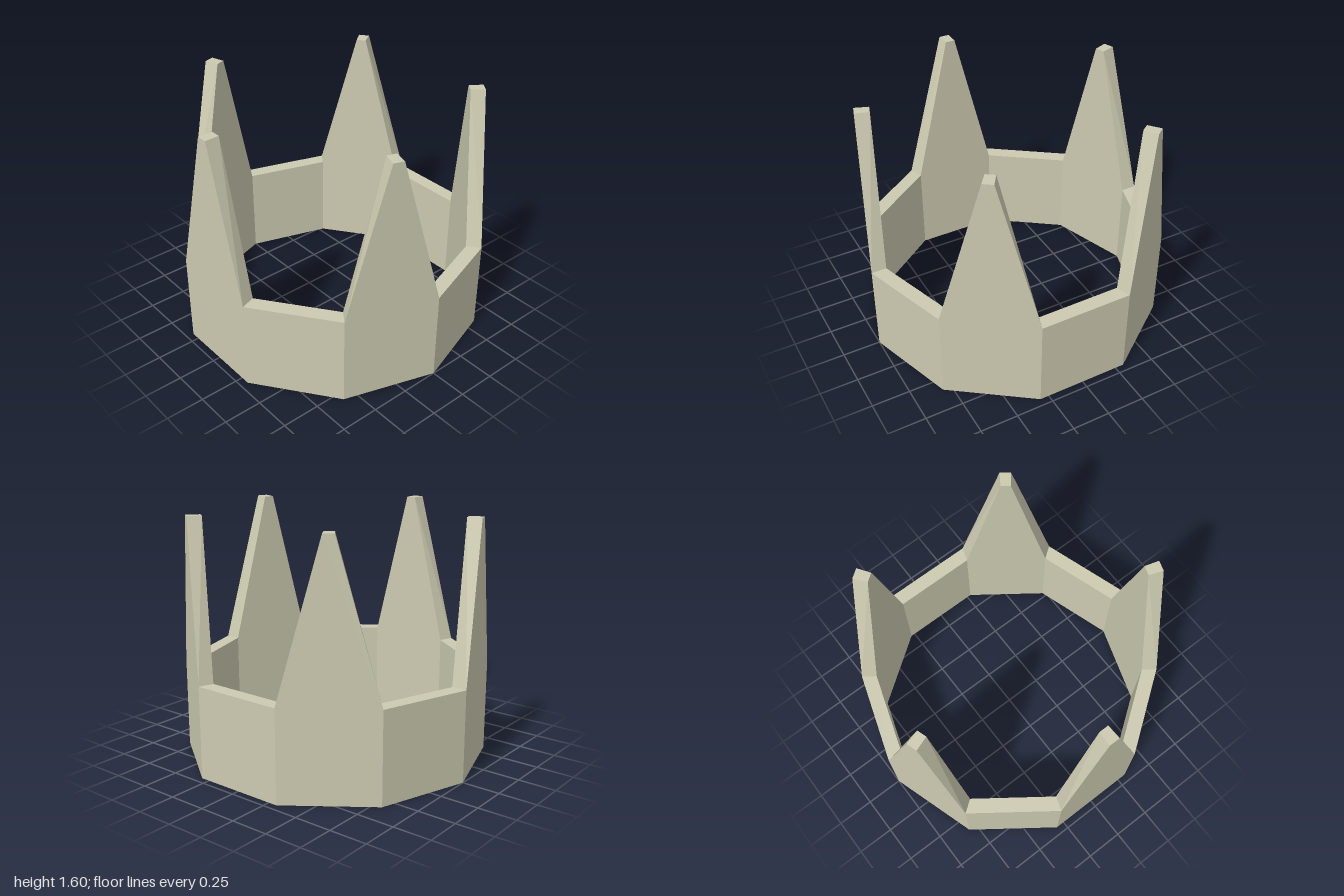
import * as THREE from 'three';

const SIDES = 10, OUTER = 1, INNER = 0.9, BAND = 0.6, TOP = 1.6, TIP = 0.113;

// Corner of the ten-sided band
const corner = (i, r, y) => {
  const a = (i / SIDES) * Math.PI * 2;
  return new THREE.Vector3(r * Math.cos(a), y, r * Math.sin(a));
};

// Flat-shaded geometry from four-cornered faces (counter-clockwise from outside)
function fromQuads(quads) {
  const pts = quads.flatMap(([a, b, c, d]) => [a, b, c, a, c, d]);
  const geo = new THREE.BufferGeometry().setFromPoints(pts);
  geo.computeVertexNormals();
  return geo;
}

export function createModel() {
  const crown = new THREE.Group();
  crown.name = 'crown';
  const material = new THREE.MeshStandardMaterial({ color: 0xcccab0, flatShading: true });
  const add = (name, quads) => {
    const mesh = new THREE.Mesh(fromQuads(quads), material);
    mesh.name = name;
    crown.add(mesh);
  };

  const band = [];
  for (let i = 0; i < SIDES; i++) {
    // Lower and upper corners of this panel
    const [O0, O1, I0, I1] = [[i, OUTER], [i + 1, OUTER], [i, INNER], [i + 1, INNER]]
      .map(([k, r]) => corner(k, r, 0));
    const [P0, P1, J0, J1] = [O0, O1, I0, I1].map(v => v.clone().setY(BAND));
    band.push([O0, P0, P1, O1], [I1, J1, J0, I0], [O0, O1, I1, I0]);

    // Plain panels get a flat rim, every other panel rises to a blunt spike
    if (i % 2) {
      band.push([P0, J0, J1, P1]);
      continue;
    }
    const tip = (a, b) => a.clone().add(b).multiplyScalar(0.5).lerp(a, TIP).setY(TOP);
    const [p0, p1, j0, j1] = [tip(P0, P1), tip(P1, P0), tip(J0, J1), tip(J1, J0)];
    add('spike' + (i / 2 + 1), [
      [P0, p0, p1, P1], // outer face
      [J1, j1, j0, J0], // inner face
      [P0, J0, j0, p0], // sloping edges
      [P1, p1, j1, J1],
      [p0, j0, j1, p1], // blunt top
    ]);
  }
  add('band', band);
  return crown;
}
